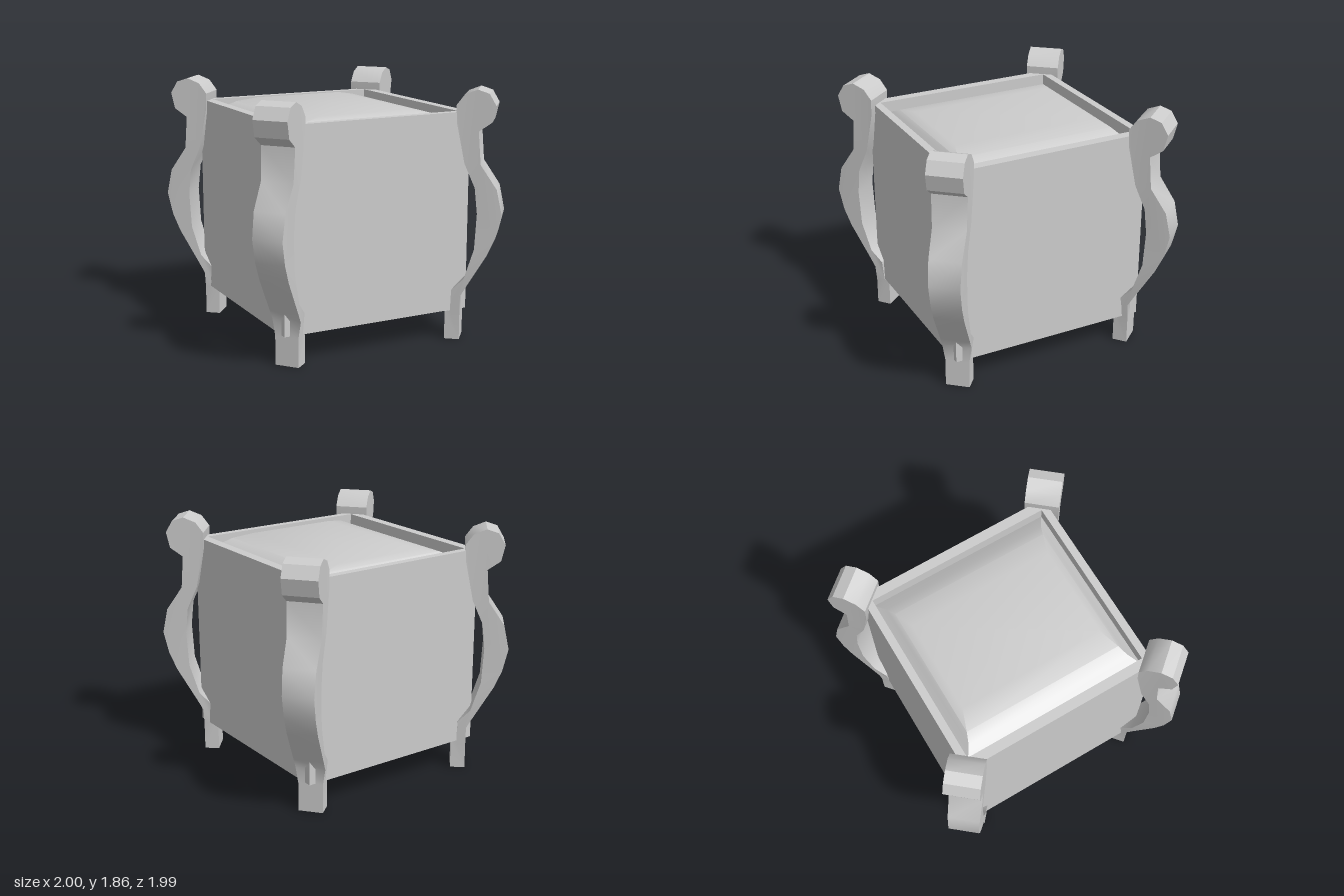
import * as THREE from 'three';
import { toCreasedNormals } from 'three/addons/utils/BufferGeometryUtils.js';

const material = new THREE.MeshStandardMaterial({ color: 0xcccccc });

// Joins a stack of rectangles, each given as [half width x, half depth z, y]
function rectLoft(rings) {
  const signs = [[1, 1], [1, -1], [-1, -1], [-1, 1]];
  const corner = ([hx, hz, y], k) => [signs[k % 4][0] * hx, y, signs[k % 4][1] * hz];
  const positions = [];
  for (let i = 0; i < rings.length - 1; i++) {
    for (let k = 0; k < 4; k++) {
      const a = corner(rings[i], k), b = corner(rings[i], k + 1);
      const c = corner(rings[i + 1], k + 1), d = corner(rings[i + 1], k);
      if (rings[i][0] > 0) positions.push(...a, ...b, ...c);
      else positions.push(...a, ...c, ...d);
      if (rings[i][0] > 0 && rings[i + 1][0] > 0) positions.push(...a, ...c, ...d);
    }
  }
  const geometry = new THREE.BufferGeometry();
  geometry.setAttribute('position', new THREE.Float32BufferAttribute(positions, 3));
  return toCreasedNormals(geometry, 0.5);
}

// Half width of a leg at a given height
function legHalfWidth(y) {
  const steps = [[0, 0.088], [0.21, 0.088], [0.33, 0.107], [0.96, 0.11], [1.32, 0.119], [1.6, 0.125], [2, 0.125]];
  const i = steps.findIndex((s) => s[0] > y);
  const [y0, w0] = steps[i - 1], [y1, w1] = steps[i];
  return w0 + (w1 - w0) * (y - y0) / (y1 - y0);
}

// Curved corner leg: side profile (distance from centre, height) given a width
function legGeometry() {
  const profile = [
    // outer edge, upward
    [1.012, 0], [1.012, 0.21], [1.012, 0.33], [1.057, 0.41], [1.203, 0.66], [1.259, 0.79],
    [1.298, 0.96], [1.259, 1.144], [1.14, 1.32], [1.121, 1.56],
    // rounded knob
    [1.213, 1.625], [1.24, 1.743], [1.19, 1.829], [1.107, 1.856], [1.017, 1.82], [0.96, 1.743], [0.965, 1.62],
    // inner edge, downward
    [1.025, 1.326], [1.102, 1.15], [1.122, 0.96], [1.108, 0.695], [1.038, 0.47],
    [0.95, 0.38], [0.942, 0.22], [0.903, 0.21], [0.903, 0],
  ];
  const shape = new THREE.Shape(profile.map(([r, y]) => new THREE.Vector2(r, y)));
  const geometry = new THREE.ExtrudeGeometry(shape, { depth: 2, bevelEnabled: false });
  const p = geometry.attributes.position;
  for (let i = 0; i < p.count; i++) {
    p.setZ(i, 0.1 + (p.getZ(i) - 1) * legHalfWidth(p.getY(i)));
  }
  geometry.rotateY(-THREE.MathUtils.degToRad(40));
  return toCreasedNormals(geometry, 0.6);
}

export function createModel() {
  const model = new THREE.Group();
  model.name = 'planter';

  const add = (name, geometry) => {
    const mesh = new THREE.Mesh(geometry, material);
    mesh.name = name;
    model.add(mesh);
    return mesh;
  };

  // Square box with a recessed top
  add('box', rectLoft([
    [0, 0, 0.22], [0.736, 0.75, 0.22], [0.736, 0.75, 1.685],
    [0.663, 0.693, 1.685], [0.663, 0.693, 1.58],
  ])).position.z = -0.004;

  // Gently mounded filling
  add('soil', rectLoft([
    [0.663, 0.693, 1.585], [0.575, 0.635, 1.637], [0.5, 0.605, 1.67],
    [0.35, 0.55, 1.697], [0, 0, 1.697],
  ])).position.z = -0.004;

  // Four legs mirrored to the corners
  const leg = legGeometry();
  for (const [sx, sz, name] of [[1, 1, 'frontLeftLeg'], [-1, 1, 'frontRightLeg'], [1, -1, 'backLeftLeg'], [-1, -1, 'backRightLeg']]) {
    add(name, leg).scale.set(sx, 1, sz);
  }
  return model;
}
